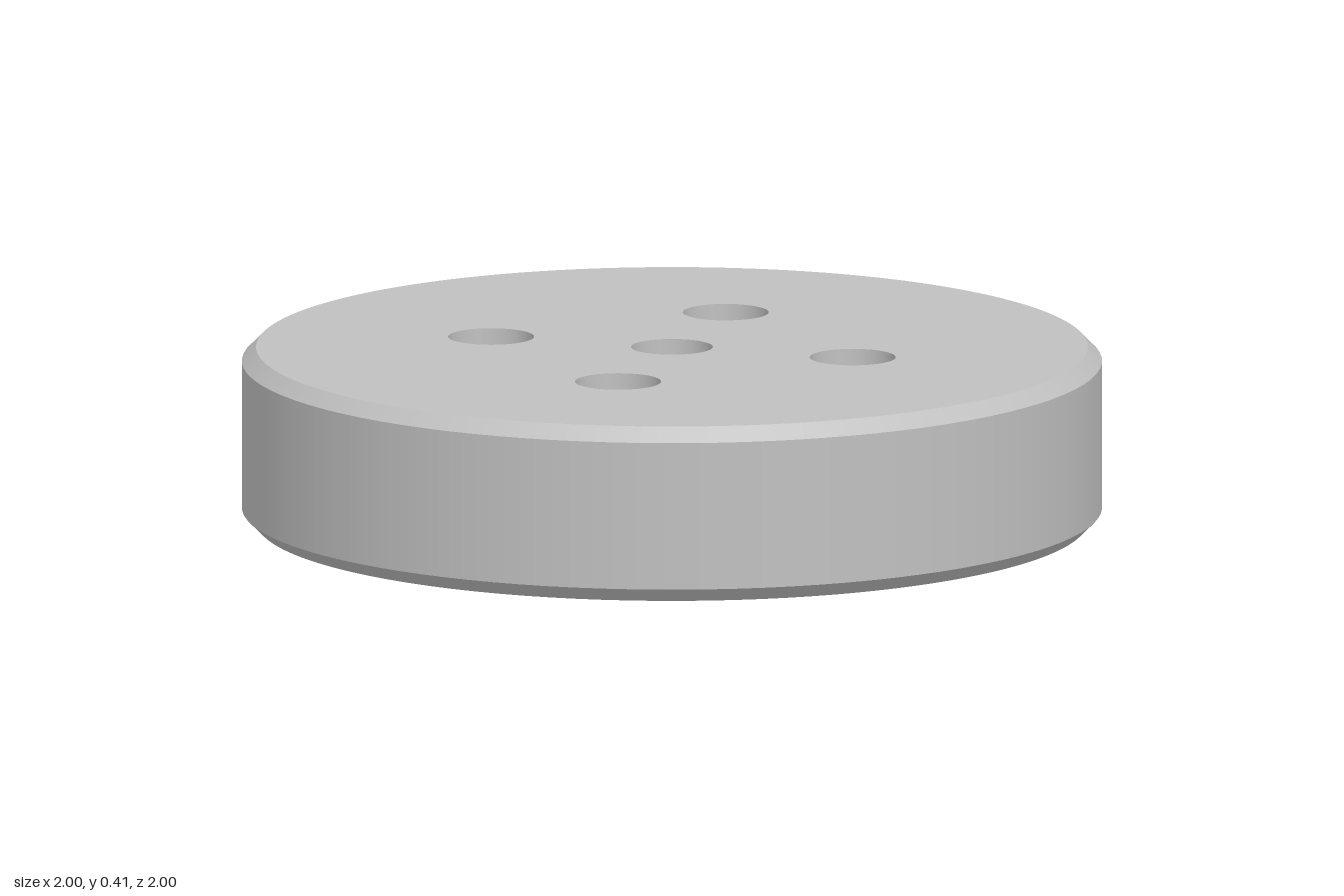
import * as THREE from 'three';

const H = 0.413, R = 1, CH = 0.033;       // disc height, radius, chamfer
const RIM = R - CH;                       // radius of the flat faces
const SLOT = 0.033;                       // half width and depth of the slot
const BORE = 0.172;                       // counterbore radius
const SEG = 96;

const grey = new THREE.MeshStandardMaterial({ color: 0xc0c0c0, side: THREE.DoubleSide });
grey.name = 'grey metal';

export function createModel() {
  const model = new THREE.Group();
  model.name = 'disc';

  function add(name, geometry, parent = model) {
    const mesh = new THREE.Mesh(geometry, grey);
    mesh.name = name;
    parent.add(mesh);
    return mesh;
  }

  // One turned band between two [radius, height] points; gap leaves room for the slot at +x
  function band(name, from, to, parent = model, gap = 0, segments = SEG) {
    const points = [from, to].map(([r, y]) => new THREE.Vector2(r, y));
    return add(name, new THREE.LatheGeometry(points, segments, Math.PI / 2 + gap, Math.PI * 2 - 2 * gap), parent);
  }

  // Hole wall turned from the inside, one band per edge so that edges stay sharp
  function hole(name, x, z, profile) {
    const group = new THREE.Group();
    group.name = name;
    group.position.set(x, 0, z);
    for (let i = 0; i + 1 < profile.length; i++) band(name + 'Wall', profile[i], profile[i + 1], group, 0, 48);
    model.add(group);
  }

  function circle(x, y, r) {
    return new THREE.Path().absarc(x, y, r, 0, Math.PI * 2, true);
  }

  const rimGap = Math.asin(SLOT / RIM), boreGap = Math.asin(SLOT / BORE);
  const corners = [[1, 1], [1, -1], [-1, -1], [-1, 1]].map(([x, z]) => [x * 0.31, z * 0.31]);
  const pins = [[0.212, -0.652], [-0.212, 0.652]];

  // Outer side and chamfers
  band('lowerChamfer', [RIM, 0], [R, CH], model, rimGap);
  band('outerSide', [R, CH], [R, H - CH]);
  band('upperChamfer', [R, H - CH], [RIM, H]);

  // Top face with five through holes
  const top = new THREE.Shape().absarc(0, 0, RIM, 0, Math.PI * 2, false);
  top.holes.push(circle(0, 0, 0.095), ...corners.map(([x, z]) => circle(x, z, 0.1)));
  add('topFace', new THREE.ShapeGeometry(top, SEG).rotateX(-Math.PI / 2).translate(0, H, 0));

  // Bottom face, notched by the slot that runs into the centre bore
  const bottom = new THREE.Shape();
  bottom.absarc(0, 0, RIM, rimGap, Math.PI * 2 - rimGap, false);
  bottom.absarc(0, 0, BORE, Math.PI * 2 - boreGap, boreGap, true);
  bottom.holes.push(...corners.map(([x, z]) => circle(x, z, BORE)), ...pins.map(([x, z]) => circle(x, z, 0.122)));
  add('bottomFace', new THREE.ShapeGeometry(bottom, SEG).rotateX(Math.PI / 2));

  // Centre bore, open to the slot in its lowest band
  hole('centreBore', 0, 0, [[0.095, H], [0.095, 0.25], [BORE, 0.25], [BORE, SLOT]]);
  band('centreBoreMouth', [BORE, SLOT], [BORE, 0], model, boreGap, 48);

  // Counterbored bolt holes and blind pin holes
  for (const [x, z] of corners) hole('boltHole', x, z, [[0.1, H], [0.1, 0.165], [BORE, 0.165], [BORE, 0]]);
  for (const [x, z] of pins) hole('pinHole', x, z, [[0, 0.25], [0.122, 0.25], [0.122, 0]]);

  // Radial slot
  const inner = BORE * Math.cos(boreGap);
  const wall = new THREE.Shape([[inner, 0], [RIM, 0], [R, SLOT], [inner, SLOT]].map(([x, y]) => new THREE.Vector2(x, y)));
  for (const side of [-1, 1]) add('slotWall', new THREE.ShapeGeometry(wall).translate(0, 0, side * SLOT));
  add('slotRoof', new THREE.PlaneGeometry(R - inner, SLOT * 2).rotateX(Math.PI / 2).translate((R + inner) / 2, SLOT, 0));

  return model;
}
